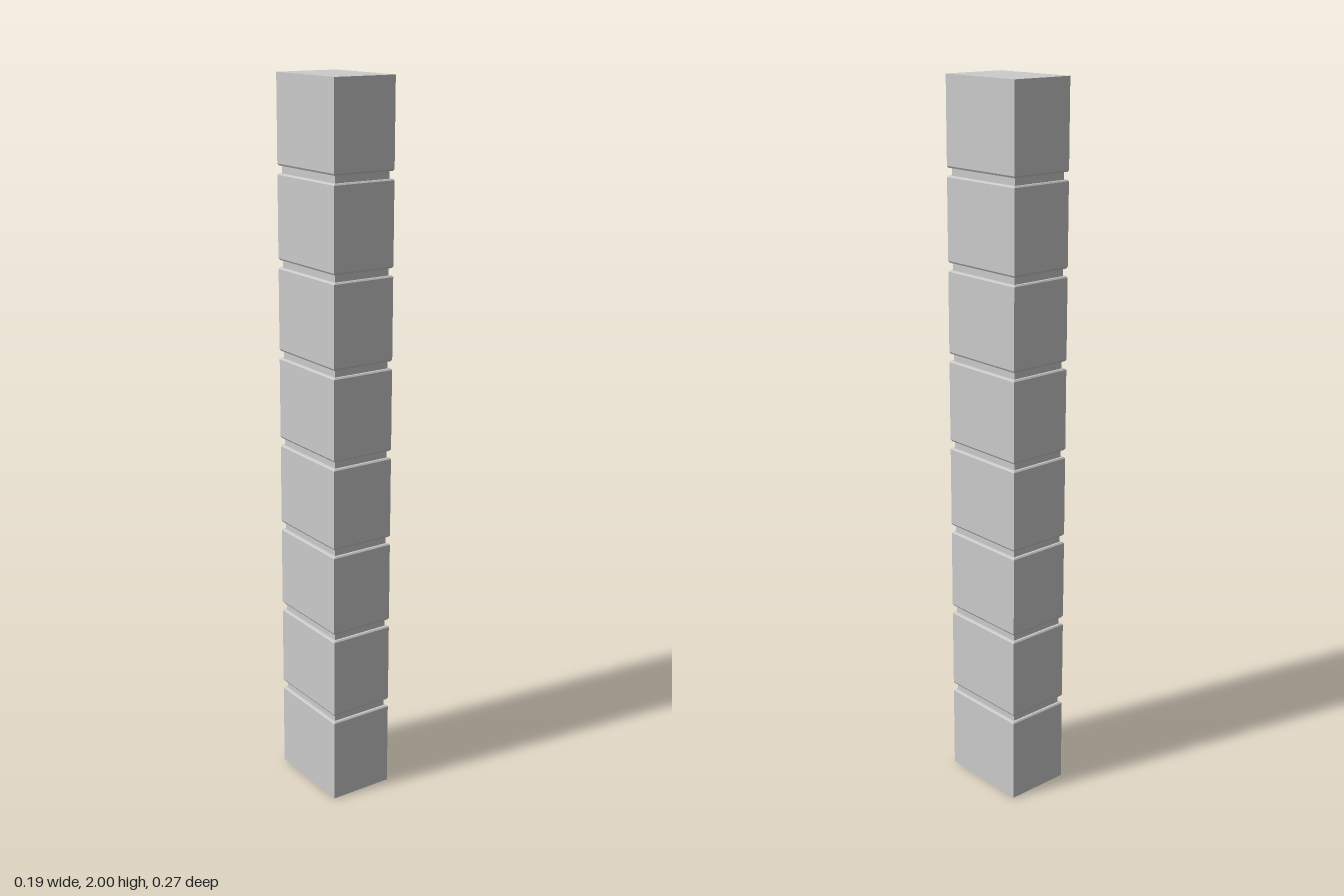
import * as THREE from 'three';

const HALF_X = 0.093, HALF_Z = 0.133, HEIGHT = 2, BLOCKS = 8;

export function createModel() {
  const group = new THREE.Group();
  group.name = 'blockPillar';

  // Side profile: inset from the outer face against height, open at the bottom
  const point = (inset, y) => new THREE.Vector2(Math.SQRT2 * (1 - inset), y);
  const profile = [point(0, 0)];
  for (let i = 1; i < BLOCKS; i++) {
    const y = (HEIGHT / BLOCKS) * i;
    // chamfered block edge, recessed groove, chamfered block edge
    profile.push(
      point(0, y - 0.012), point(0.003, y - 0.008), point(0.009, y - 0.008),
      point(0.009, y + 0.012), point(0.003, y + 0.012), point(0, y + 0.017)
    );
  }
  // flat top closing to the centre
  profile.push(point(0, HEIGHT), new THREE.Vector2(0, HEIGHT));

  // Four-sided lathe, fitted to the rectangular plan with an even inset
  const lathe = new THREE.LatheGeometry(profile, 4, Math.PI / 4);
  const pos = lathe.attributes.position;
  const fit = (v, half) => Math.sign(v) * Math.max(0, half - (1 - Math.abs(v)));
  for (let i = 0; i < pos.count; i++) {
    pos.setX(i, fit(pos.getX(i), HALF_X));
    pos.setZ(i, fit(pos.getZ(i), HALF_Z));
  }
  const geometry = lathe.toNonIndexed();
  geometry.computeVertexNormals();

  const shell = new THREE.Mesh(geometry, new THREE.MeshStandardMaterial({
    color: 0xcccccc, side: THREE.DoubleSide,
  }));
  shell.name = 'groovedPillarShell';
  group.add(shell);
  return group;
}
